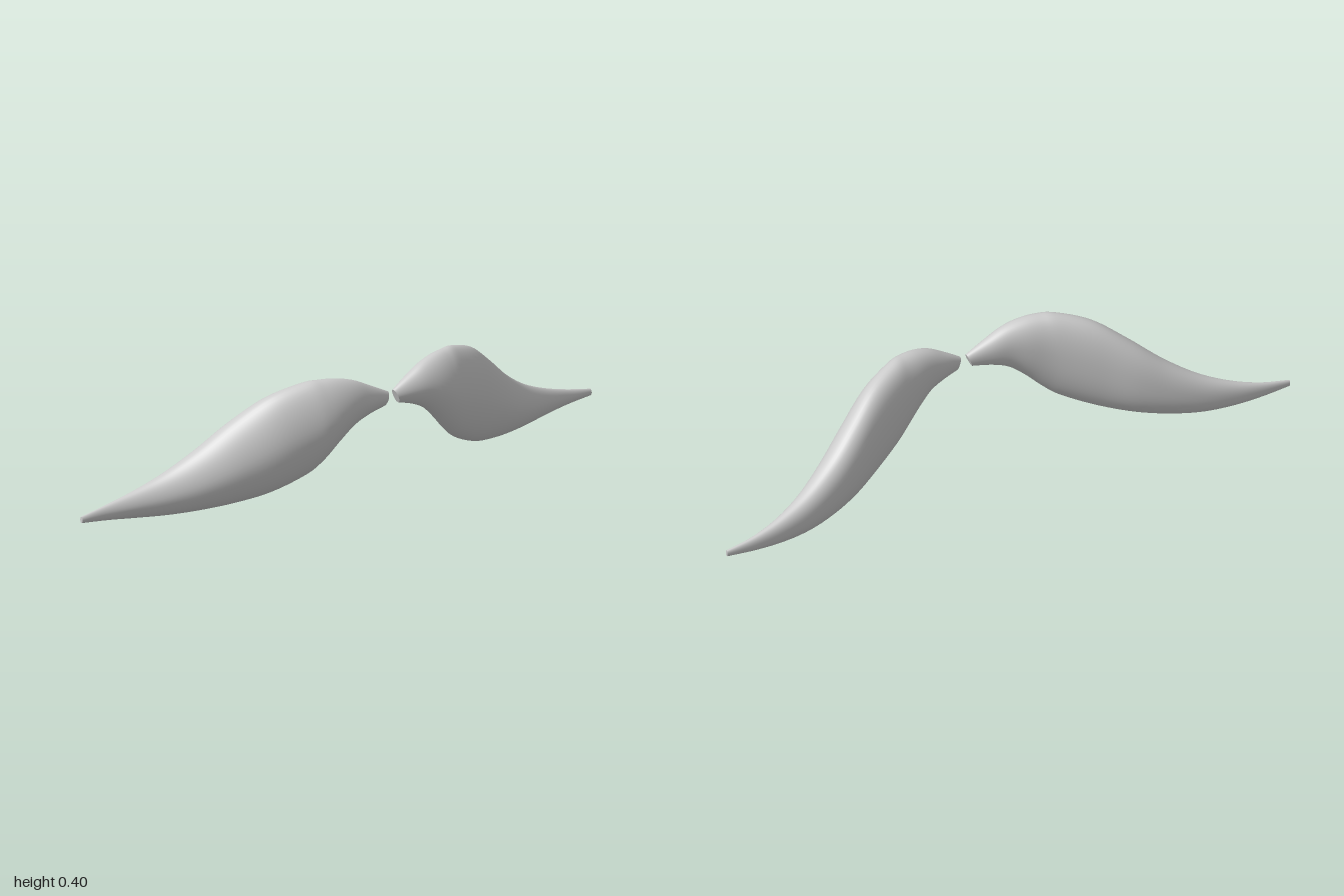
import * as THREE from 'three';

// Cross-sections from the inner end to the tip: x, top, bottom, front, back
const SECTIONS = [
  [0.045, 0.318, 0.273, 0.118, 0.088],
  [0.1, 0.353, 0.257, 0.136, 0.07],
  [0.15, 0.382, 0.232, 0.148, 0.056],
  [0.2, 0.398, 0.187, 0.154, 0.038],
  [0.25, 0.403, 0.135, 0.152, 0.02],
  [0.3, 0.399, 0.096, 0.14, -0.002],
  [0.4, 0.362, 0.05, 0.105, -0.05],
  [0.5, 0.288, 0.023, 0.055, -0.098],
  [0.6, 0.205, 0.008, 0, -0.13],
  [0.7, 0.14, 0.002, -0.055, -0.15],
  [0.8, 0.096, 0.006, -0.1, -0.159],
  [0.9, 0.066, 0.015, -0.13, -0.16],
  [1, 0.046, 0.025, -0.142, -0.155],
];
const RINGS = 72, SIDES = 48;

const spline = (a, b) => new THREE.CatmullRomCurve3(
  SECTIONS.map((s) => new THREE.Vector3(s[0], s[a], s[b])), false, 'catmullrom', 0.5);
const heights = spline(1, 2);
const depths = spline(3, 4);

// Rounded section: a softly pointed front and a fuller back
function ring(t, side) {
  const h = heights.getPoint(t), d = depths.getPoint(t);
  const cy = (h.y + h.z) / 2, ry = (h.y - h.z) / 2;
  const cz = (d.y + d.z) / 2, rz = (d.y - d.z) / 2;
  const near = Math.exp(-(h.x - 0.045) / 0.15);
  const points = [];
  for (let j = 0; j < SIDES; j++) {
    const a = (j / SIDES) * Math.PI * 2, c = Math.cos(a), s = Math.sin(a);
    const p = c > 0 ? 1.8 : 2.25;
    const r = Math.pow(Math.abs(c) ** p + Math.abs(s) ** p, -1 / p);
    const y = r * s * ry;
    // The inner end leans; the right half reaches a little further inward
    const x = h.x - 0.4 * y * near * near - (side < 0 ? 0.05 * near : 0);
    points.push([side * x, cy + y, cz + r * c * rz]);
  }
  return points;
}

function half(side) {
  const pos = [], index = [];
  const tri = (a, b, c) => index.push(...(side > 0 ? [a, b, c] : [a, c, b]));
  // Lofted skin
  for (let i = 0; i <= RINGS; i++) pos.push(...ring(i / RINGS, side).flat());
  for (let i = 0; i < RINGS; i++) {
    for (let j = 0; j < SIDES; j++) {
      const k = (j + 1) % SIDES, a = i * SIDES, b = a + SIDES;
      tri(a + j, b + j, a + k);
      tri(a + k, b + j, b + k);
    }
  }
  // Flat end caps with their own vertices, for crisp rims
  for (const t of [0, 1]) {
    const pts = ring(t, side), base = pos.length / 3;
    pos.push(...pts.flat());
    pos.push(...[0, 1, 2].map((n) => pts.reduce((sum, p) => sum + p[n], 0) / SIDES));
    for (let j = 0; j < SIDES; j++) {
      const k = (j + 1) % SIDES;
      if (t === 0) tri(base + SIDES, base + j, base + k);
      else tri(base + SIDES, base + k, base + j);
    }
  }
  const geometry = new THREE.BufferGeometry();
  geometry.setAttribute('position', new THREE.Float32BufferAttribute(pos, 3));
  geometry.setIndex(index);
  geometry.computeVertexNormals();
  return geometry;
}

export function createModel() {
  const model = new THREE.Group();
  model.name = 'moustache';
  const material = new THREE.MeshStandardMaterial({ color: 0xcccccc });
  for (const side of [1, -1]) {
    const mesh = new THREE.Mesh(half(side), material);
    mesh.name = side > 0 ? 'leftWhisker' : 'rightWhisker';
    model.add(mesh);
  }
  return model;
}
